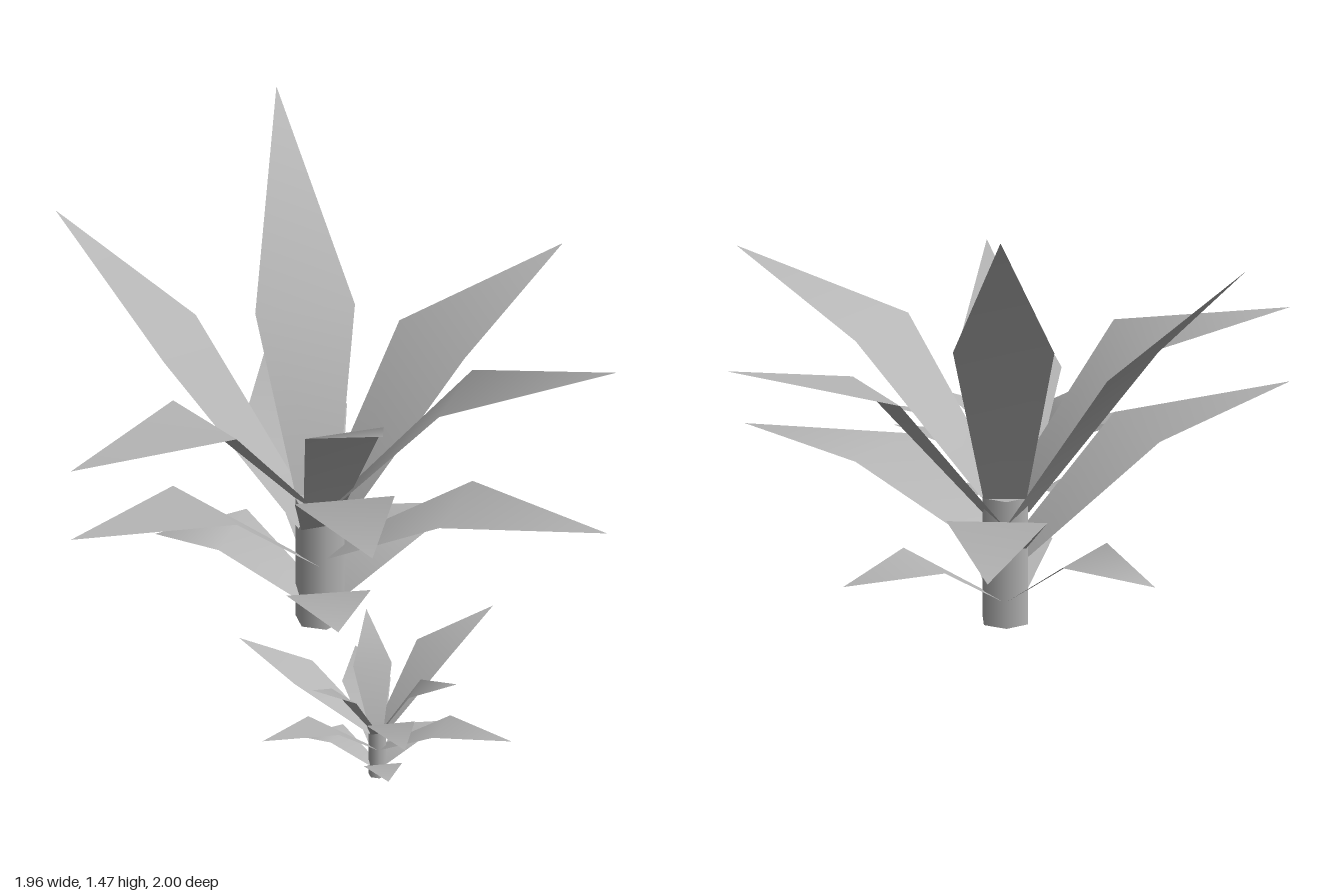
import * as THREE from 'three';

const leafGrey = new THREE.MeshStandardMaterial({ color: 0xb4b4b4, side: THREE.DoubleSide });
leafGrey.name = 'leafGrey';

// Flat kite leaf: narrow base, wide middle, pointed tip; bends at the middle.
function leaf([angle, baseY, midR, midY, halfWidth, tipR, tipY], baseR, baseHalf) {
  const a = THREE.MathUtils.degToRad(angle);
  const at = (r, side, y) => [
    Math.cos(a) * r + Math.sin(a) * side, y, -Math.sin(a) * r + Math.cos(a) * side,
  ];
  const geo = new THREE.BufferGeometry();
  geo.setAttribute('position', new THREE.Float32BufferAttribute([
    ...at(baseR, baseHalf, baseY), ...at(baseR, -baseHalf, baseY),
    ...at(midR, halfWidth, midY), ...at(midR, -halfWidth, midY),
    ...at(tipR, 0, tipY),
  ], 3));
  geo.setIndex([0, 2, 3, 0, 3, 1, 2, 4, 3]);
  geo.computeVertexNormals();
  return new THREE.Mesh(geo, leafGrey);
}

// Six-sided stem with whorls of leaves around it.
function plant(name, radius, height, leaves) {
  const group = new THREE.Group();
  group.name = name;
  const stem = new THREE.Mesh(new THREE.CylinderGeometry(radius, radius, height, 6), leafGrey);
  stem.geometry.rotateY(Math.PI / 6);
  stem.position.y = height / 2;
  stem.name = 'stem';
  group.add(stem);
  leaves.forEach((spec, i) => {
    const mesh = leaf(spec, radius * 0.6, radius * 0.85);
    mesh.name = 'leaf' + (i + 1);
    group.add(mesh);
  });
  return group;
}

// angle, base height, middle reach, middle height, half width, tip reach, tip height
const largeLeaves = [
  // bottom whorl
  [117, 0.09, 0.28, 0.26, 0.135, 0.53, 0.2],
  [233, 0.09, 0.2, 0.2, 0.13, 0.42, 0.185],
  [355, 0.09, 0.28, 0.24, 0.135, 0.56, 0.2],
  // spreading whorl
  [54, 0.25, 0.46, 0.48, 0.155, 0.98, 0.46],
  [174, 0.22, 0.45, 0.555, 0.155, 0.975, 0.62],
  [296, 0.25, 0.44, 0.48, 0.155, 0.93, 0.47],
  // rising whorl
  [117, 0.34, 0.45, 0.9, 0.155, 0.85, 1.28],
  [235, 0.34, 0.45, 0.665, 0.155, 0.95, 0.74],
  [355, 0.34, 0.445, 0.815, 0.155, 0.965, 0.965],
  // crown
  [56, 0.41, 0.24, 0.95, 0.155, 0.71, 1.47],
  [174, 0.41, 0.45, 0.855, 0.155, 0.975, 0.86],
  [296, 0.41, 0.44, 0.87, 0.155, 0.96, 1.04],
  [242, 0.41, 0.26, 0.79, 0.125, 0.67, 1.0],
];

const smallLeaves = [
  // bottom whorl
  [117, 0.04, 0.13, 0.12, 0.06, 0.26, 0.088],
  [235, 0.04, 0.1, 0.09, 0.06, 0.2, 0.085],
  [355, 0.04, 0.13, 0.105, 0.06, 0.27, 0.09],
  // spreading whorl
  [54, 0.1, 0.22, 0.21, 0.075, 0.44, 0.205],
  [174, 0.1, 0.21, 0.245, 0.075, 0.45, 0.275],
  [294, 0.1, 0.21, 0.21, 0.075, 0.44, 0.205],
  // rising whorl
  [115, 0.15, 0.24, 0.31, 0.078, 0.45, 0.39],
  [236, 0.15, 0.22, 0.3, 0.075, 0.45, 0.335],
  [355, 0.15, 0.22, 0.36, 0.075, 0.46, 0.425],
  // crown
  [56, 0.16, 0.08, 0.34, 0.06, 0.18, 0.48],
  [174, 0.16, 0.13, 0.32, 0.06, 0.255, 0.385],
  [298, 0.16, 0.12, 0.32, 0.06, 0.255, 0.358],
];

export function createModel() {
  const model = new THREE.Group();
  model.name = 'plants';
  const large = plant('largePlant', 0.0775, 0.41, largeLeaves);
  large.position.set(0.0175, 0, -0.21);
  const small = plant('smallPlant', 0.028, 0.16, smallLeaves);
  small.position.set(-0.538, 0, 0.6);
  model.add(large, small);
  return model;
}
